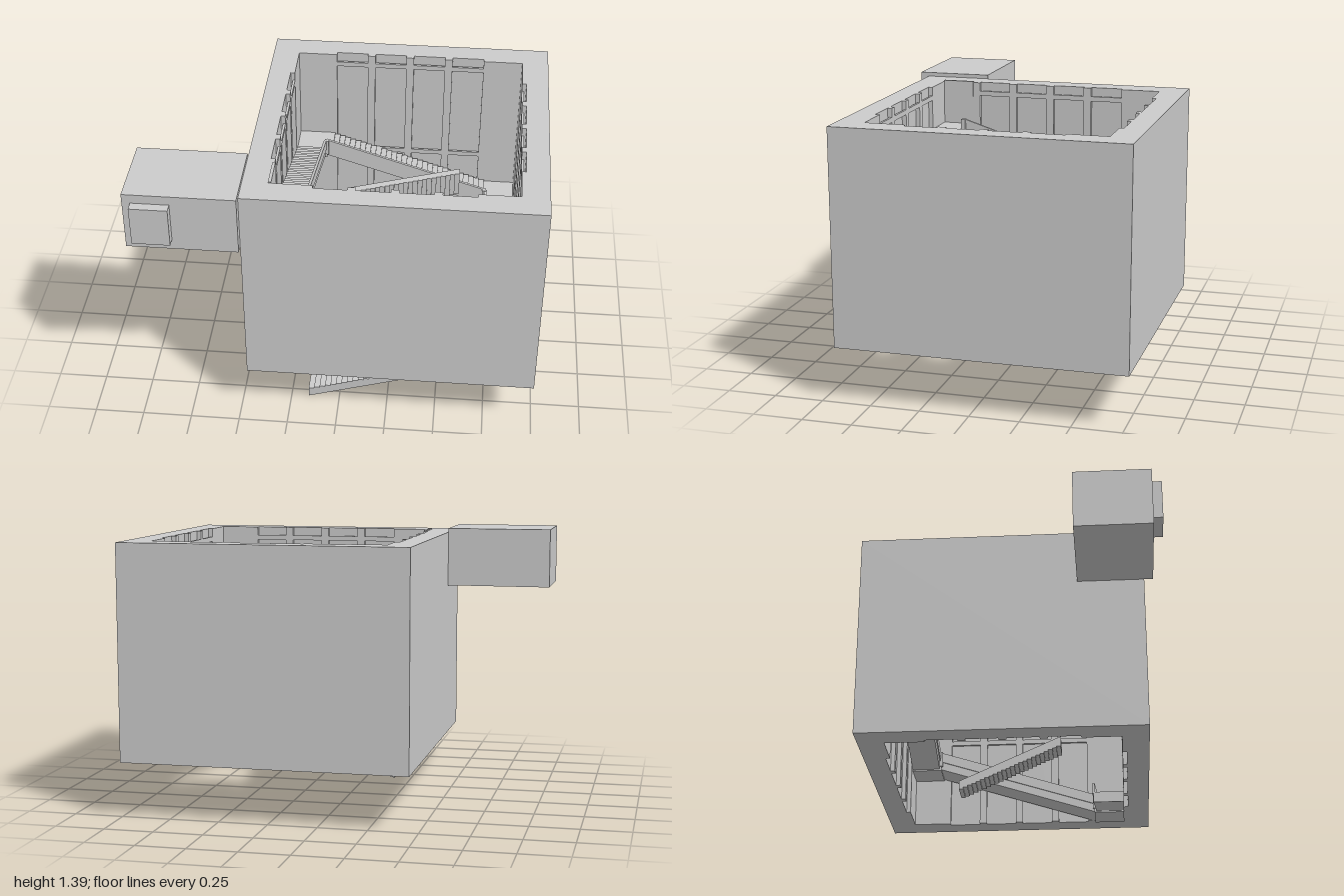
import * as THREE from 'three';

const mat = new THREE.MeshStandardMaterial({ color: 0xcccccc });
const CX = 0.27, CZ = -0.0475;        // shaft centre
const OUTER = 0.7275, INNER = 0.592;  // half widths of the shaft
const NICHE = 0.022, BASE = 0.28, TOP = 1.37;
const RUN = 0.86, RISE = 0.275, THICK = 0.045, WELL = 0.44;
const nicheCentres = [-0.3075, -0.1025, 0.1025, 0.3075], nicheHalf = 0.0825;

function add(parent, name, geometry) {
  const mesh = new THREE.Mesh(geometry, mat);
  mesh.name = name;
  parent.add(mesh);
  return mesh;
}

// box given by its min and max corners
function block(parent, name, [x0, y0, z0], [x1, y1, z1]) {
  const mesh = add(parent, name, new THREE.BoxGeometry(x1 - x0, y1 - y0, z1 - z0));
  mesh.position.set((x0 + x1) / 2, (y0 + y1) / 2, (z0 + z1) / 2);
  return mesh;
}

function extrude(points, depth) {
  const shape = new THREE.Shape(points.map(([x, y]) => new THREE.Vector2(x, y)));
  return new THREE.ExtrudeGeometry(shape, { depth, bevelEnabled: false });
}

// stepped flight with a smooth soffit, rising along x
function flight(run, rise, steps, thick, width) {
  const pts = [[0, -thick]];
  pts.push([run, rise - thick]);
  for (let i = steps; i > 0; i--) {
    pts.push([run * i / steps, rise * i / steps]);
    pts.push([run * (i - 1) / steps, rise * i / steps]);
  }
  return extrude(pts, width);
}

// places a geometry by the directions its own axes take
function orient(mesh, x, y, z, position) {
  const m = new THREE.Matrix4().makeBasis(
    new THREE.Vector3(...x), new THREE.Vector3(...y), new THREE.Vector3(...z));
  mesh.quaternion.setFromRotationMatrix(m);
  mesh.position.set(...position);
}

// square shaft whose inner faces carry four full-height niches each
function shaftGeometry() {
  const o = OUTER;
  const shape = new THREE.Shape([[-o, -o], [o, -o], [o, o], [-o, o]].map(p => new THREE.Vector2(...p)));
  const hole = [];
  for (let k = 0; k < 4; k++) {
    const spin = (x, y) => hole.push(new THREE.Vector2(x, y).rotateAround(new THREE.Vector2(), k * Math.PI / 2));
    spin(-INNER, -INNER);
    for (const c of nicheCentres) {
      spin(c - nicheHalf, -INNER);
      spin(c - nicheHalf, -INNER - NICHE);
      spin(c + nicheHalf, -INNER - NICHE);
      spin(c + nicheHalf, -INNER);
    }
  }
  shape.holes.push(new THREE.Path(hole));
  const g = new THREE.ExtrudeGeometry(shape, { depth: TOP - BASE, bevelEnabled: false });
  return g.rotateX(-Math.PI / 2).translate(0, BASE, 0);
}

export function createModel() {
  const model = new THREE.Group();
  model.name = 'stairwell';

  const shaft = add(model, 'shaftWalls', shaftGeometry());
  shaft.position.set(CX, 0, CZ);

  // one side per turn: flight, parapet, corner landing and niche ledges
  for (let k = 0; k < 4; k++) {
    const side = new THREE.Group();
    side.name = 'stairSide' + (k + 1);
    side.position.set(CX, 0, CZ);
    side.rotation.y = k * Math.PI / 2;
    model.add(side);

    const y = THICK + k * RISE, start = -RUN / 2, end = RUN / 2;
    add(side, 'flight', flight(RUN, RISE, 30, THICK, INNER - WELL)).position.set(start, y, WELL);
    add(side, 'parapet', extrude([[0, 0], [RUN, RISE], [RUN, RISE + 0.055], [0, 0.055]], 0.014))
      .position.set(start, y, WELL - 0.006);

    const top = y + RISE;
    block(side, 'landing', [end, top - 0.053, end], [INNER, top, INNER]);
    block(side, 'cornerPost', [end - 0.008, top - 0.03, end - 0.008], [end + 0.014, top + 0.055, end + 0.014]);

    for (const c of nicheCentres) for (const h of [0.76, 1.3]) {
      block(side, 'nicheLedge', [c - nicheHalf, h, INNER], [c + nicheHalf, h + 0.025, INNER + 0.012]);
    }
  }

  // entrance room with its outer door, and the inner door onto the top landing
  block(model, 'entranceRoom', [-1, 1.085, 0.34], [-0.458, 1.39, 0.725]);
  block(model, 'outerDoor', [-0.96, 1.14, 0.72], [-0.775, 1.343, 0.772]);
  block(model, 'innerDoor', [-0.333, 1.145, 0.38], [-0.318, 1.376, 0.544]);

  // loose flights in the well: one upside down, one on its side
  orient(add(model, 'upsideDownFlight', flight(0.54, 0.24, 24, 0.045, 0.135)),
    [0, 0, -1], [0, -1, 0], [-1, 0, 0], [0.335, 0.47, 0.22]);
  orient(add(model, 'sidewaysFlight', flight(0.59, 0.23, 24, 0.04, 0.135)),
    [-1, 0, 0], [0, 0, 1], [0, 1, 0], [0.565, 0.68, -0.395]);

  return model;
}
